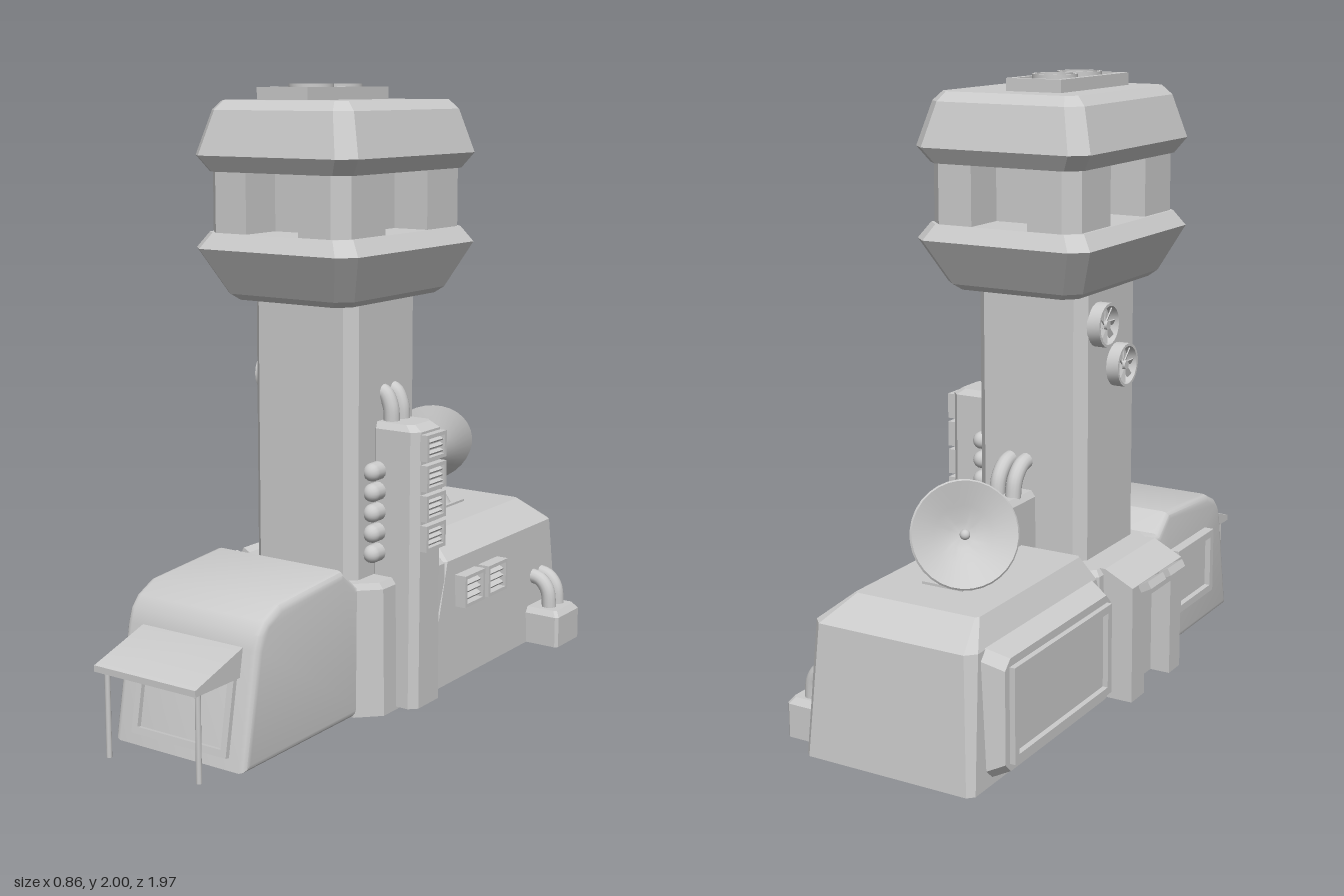
import * as THREE from 'three';
import { toCreasedNormals } from 'three/addons/utils/BufferGeometryUtils.js';

const grey = new THREE.MeshStandardMaterial({ color: 0xcccccc });
const thin = new THREE.MeshStandardMaterial({ color: 0xcccccc, side: THREE.DoubleSide });

function add(parent, name, geo, x = 0, y = 0, z = 0, mat = grey) {
  const m = new THREE.Mesh(geo, mat);
  m.name = name;
  m.position.set(x, y, z);
  parent.add(m);
  return m;
}
function sub(parent, name, x = 0, y = 0, z = 0) {
  const g = new THREE.Group();
  g.name = name;
  g.position.set(x, y, z);
  parent.add(g);
  return g;
}
// box given by its min and max corners
function block(parent, name, x0, x1, y0, y1, z0, z1) {
  return add(parent, name, new THREE.BoxGeometry(x1 - x0, y1 - y0, z1 - z0), (x0 + x1) / 2, (y0 + y1) / 2, (z0 + z1) / 2);
}
// stacked rectangles with cut corners: [y, x0, x1, z0, z1, cut]
function loft(rings) {
  const loops = rings.map(([y, x0, x1, z0, z1, c]) => [
    [x1, z1 - c], [x1, z0 + c], [x1 - c, z0], [x0 + c, z0],
    [x0, z0 + c], [x0, z1 - c], [x0 + c, z1], [x1 - c, z1],
  ].map(([x, z]) => [x, y, z]));
  const pos = [];
  const tri = (...p) => p.forEach((v) => pos.push(...v));
  for (let r = 0; r < loops.length - 1; r++) {
    for (let i = 0; i < 8; i++) {
      const j = (i + 1) % 8, lo = loops[r], hi = loops[r + 1];
      tri(lo[i], lo[j], hi[j]);
      tri(lo[i], hi[j], hi[i]);
    }
  }
  const bottom = loops[0], top = loops[loops.length - 1];
  for (let i = 1; i < 7; i++) {
    tri(top[0], top[i], top[i + 1]);
    tri(bottom[0], bottom[i + 1], bottom[i]);
  }
  const g = new THREE.BufferGeometry();
  g.setAttribute('position', new THREE.Float32BufferAttribute(pos, 3));
  g.computeVertexNormals();
  return g;
}
const centred = (cx, cz, rings) => loft(rings.map(([y, hx, hz, c]) => [y, cx - hx, cx + hx, cz - hz, cz + hz, c]));
const shapeOf = (pts) => new THREE.Shape(pts.map(([a, b]) => new THREE.Vector2(a, b)));

// side profile of (z, y) points, extruded between two x values
function sideExtrude(pts, x0, x1, bevel = 0) {
  const g = new THREE.ExtrudeGeometry(shapeOf(pts), {
    depth: x1 - x0 - 2 * bevel, bevelEnabled: bevel > 0, bevelSize: bevel, bevelOffset: -bevel, bevelThickness: bevel, bevelSegments: 3,
  });
  g.rotateY(-Math.PI / 2).translate(x1 - bevel, 0, 0);
  return toCreasedNormals(g, 0.6);
}
function pipe(parent, name, pts, r) {
  const curve = new THREE.CatmullRomCurve3(pts.map((p) => new THREE.Vector3(...p)));
  return add(parent, name, new THREE.TubeGeometry(curve, 14, r, 14), 0, 0, 0, thin);
}
// rectangular frame facing +z
function frame(parent, w, h, d, t) {
  for (const s of [-1, 1]) {
    add(parent, 'frameRail', new THREE.BoxGeometry(w, t, d), 0, s * (h - t) / 2, d / 2);
    add(parent, 'frameStile', new THREE.BoxGeometry(t, h - 2 * t, d), s * (w - t) / 2, 0, d / 2);
  }
}
function vent(parent, name, w, h, d, x, y, z) {
  const g = sub(parent, name, x, y, z);
  frame(g, w, h, d, 0.012);
  add(g, 'ventBack', new THREE.BoxGeometry(w - 0.02, h - 0.02, d * 0.4), 0, 0, d * 0.2);
  for (let i = -1; i <= 1; i++) {
    add(g, 'louver', new THREE.BoxGeometry(w - 0.02, 0.006, d * 0.6), 0, i * h * 0.22, d * 0.5).rotation.x = 0.5;
  }
  return g;
}
// round fan with its axis along +y
function fan(parent, name, r, h, x, y, z) {
  const g = sub(parent, name, x, y, z);
  const rim = [[r, 0], [r, h], [r * 0.87, h], [r * 0.87, h * 0.2], [0, h * 0.2]].map(([a, b]) => new THREE.Vector2(a, b));
  add(g, 'fanRing', toCreasedNormals(new THREE.LatheGeometry(rim, 24), 0.6), 0, 0, 0, thin);
  add(g, 'fanHub', new THREE.CylinderGeometry(r * 0.2, r * 0.25, h * 0.7, 14), 0, h * 0.55, 0);
  for (let i = 0; i < 8; i++) {
    const arm = sub(g, 'fanBlade');
    arm.rotation.y = i * Math.PI / 4;
    add(arm, 'blade', new THREE.BoxGeometry(r * 0.72, 0.004, r * 0.26), r * 0.52, h * 0.6, 0).rotation.x = 0.45;
  }
  return g;
}

export function createModel() {
  const model = new THREE.Group();
  model.name = 'controlTower';

  // ground floor: rear hall, middle block, front hall
  add(model, 'rearHall', loft([
    [0, -0.3, 0.3, -0.98, -0.04, 0.02], [0.42, -0.285, 0.285, -0.945, -0.17, 0.03], [0.5, -0.245, 0.19, -0.85, -0.23, 0.01]]));
  add(model, 'middleBlock', loft([
    [0, -0.29, 0.29, -0.25, 0.26, 0.07], [0.42, -0.285, 0.285, -0.25, 0.26, 0.07], [0.44, -0.27, 0.27, -0.24, 0.26, 0.07]]));
  add(model, 'frontHall', sideExtrude([
    [0.2, 0], [0.83, 0], [0.765, 0.36], [0.75, 0.405], [0.72, 0.44], [0.65, 0.475], [0.32, 0.5], [0.25, 0.44], [0.2, 0.44]], -0.29, 0.225, 0.025));

  // bulging framed panel on the rear hall's right side
  const bay = sub(model, 'sideBay', -0.28, 0.22, -0.55);
  bay.rotation.y = -Math.PI / 2;
  add(bay, 'bayBody', centred(0, 0, [[0, 0.355, 0.205, 0.03], [0.07, 0.325, 0.175, 0.03]]).rotateX(Math.PI / 2));
  const bayFrame = sub(bay, 'bayFrame', 0, 0, 0.07);
  frame(bayFrame, 0.6, 0.3, 0.018, 0.025);

  // window on the front hall's right side
  const sideWindow = sub(model, 'sideWindow', -0.285, 0.245, 0.475);
  sideWindow.rotation.y = -Math.PI / 2;
  frame(sideWindow, 0.29, 0.23, 0.04, 0.025);
  add(sideWindow, 'pane', new THREE.BoxGeometry(0.25, 0.19, 0.02), 0, 0, 0.01);

  // side entrance with lamps
  const portal = sub(model, 'sideEntrance');
  block(portal, 'rearPillar', -0.39, -0.26, 0, 0.36, -0.15, -0.06);
  block(portal, 'frontPillar', -0.39, -0.26, 0, 0.36, 0.13, 0.21);
  block(portal, 'door', -0.32, -0.26, 0, 0.36, -0.06, 0.13);
  const lintel = shapeOf([[-0.39, 0.33], [-0.26, 0.33], [-0.26, 0.44], [-0.29, 0.44], [-0.39, 0.39]]);
  add(portal, 'lintel', new THREE.ExtrudeGeometry(lintel, { depth: 0.36, bevelEnabled: false }), 0, 0, -0.15);
  for (const z of [-0.05, 0.095]) {
    add(portal, 'lamp', new THREE.BoxGeometry(0.04, 0.025, 0.11), -0.41, 0.385, z).rotation.z = -0.5;
  }

  // porch
  const porch = sub(model, 'porch');
  add(porch, 'canopy', sideExtrude([[0.74, 0.275], [0.985, 0.275], [0.985, 0.295], [0.745, 0.37], [0.74, 0.37]], -0.22, 0.17));
  for (const x of [-0.2, 0.15]) add(porch, 'post', new THREE.CylinderGeometry(0.009, 0.009, 0.28, 10), x, 0.14, 0.95);
  const entry = sub(porch, 'frontDoorFrame', -0.025, 0.155, 0.8);
  entry.rotation.x = -0.18;
  frame(entry, 0.37, 0.24, 0.018, 0.022);

  // shaft
  add(model, 'towerShaft', centred(0, 0.05, [[0.2, 0.2, 0.19, 0.035], [1.335, 0.2, 0.19, 0.035]]));

  // control room
  const head = sub(model, 'controlRoom');
  add(head, 'lowerCollar', centred(0, 0.035, [
    [1.325, 0.22, 0.28, 0.04], [1.345, 0.245, 0.305, 0.045], [1.49, 0.31, 0.385, 0.05], [1.54, 0.275, 0.355, 0.045]]));
  add(head, 'upperCollar', centred(0, 0.035, [
    [1.73, 0.275, 0.355, 0.045], [1.78, 0.31, 0.385, 0.05], [1.92, 0.27, 0.345, 0.045], [1.95, 0.24, 0.315, 0.03]]));
  block(head, 'roomCore', -0.14, 0.14, 1.53, 1.74, -0.165, 0.235);
  for (const sx of [-1, 1]) for (const sz of [-1, 1]) {
    const corner = [[0.1, 0.12], [0.265, 0.12], [0.265, 0.305], [0.22, 0.35], [0.1, 0.35]];
    const post = new THREE.ExtrudeGeometry(shapeOf(corner.map(([x, z]) => [sx * x, -sz * z])), { depth: 0.2, bevelEnabled: false });
    add(head, 'cornerPost', post.rotateX(-Math.PI / 2), 0, 1.535, 0.035);
  }

  // roof fans in a tray
  const tray = sub(model, 'roofFans', -0.045, 1.95, 0.045);
  const rails = sub(tray, 'trayFrame');
  rails.rotation.x = -Math.PI / 2;
  frame(rails, 0.195, 0.45, 0.04, 0.022);
  add(tray, 'trayFloor', new THREE.BoxGeometry(0.17, 0.015, 0.43), 0, 0.0075, 0);
  for (const z of [-0.09, 0.07]) fan(tray, 'roofFan', 0.072, 0.038, 0, 0.012, z);

  // fans on the shaft's right side
  for (const [y, z] of [[1.215, -0.04], [1.06, 0.09]]) fan(model, 'shaftFan', 0.072, 0.045, -0.198, y, z).rotation.z = Math.PI / 2;

  // cooling cabinet on the left side
  const cabinet = sub(model, 'coolingCabinet');
  add(cabinet, 'cabinetBody', loft([
    [0.01, 0.18, 0.36, -0.05, 0.12, 0.025], [0.92, 0.18, 0.36, -0.045, 0.115, 0.025], [0.94, 0.18, 0.33, -0.03, 0.1, 0.02]]));
  for (let i = 0; i < 4; i++) {
    const v = vent(cabinet, 'cabinetVent', 0.115, 0.085, 0.03, 0.355, 0.87 - i * 0.098, 0.035);
    v.rotation.set(0, Math.PI / 2, 0);
  }
  for (let i = 0; i < 5; i++) {
    add(cabinet, 'coolingPipe', new THREE.CapsuleGeometry(0.03, 0.23, 6, 14).rotateX(Math.PI / 2), 0.215, 0.785 - i * 0.067, 0.035);
  }
  for (const z of [0.06, 0]) {
    pipe(cabinet, 'topPipe', [[0.18, 1.035, z], [0.205, 1.025, z], [0.225, 0.985, z], [0.23, 0.92, z]], 0.026);
  }

  // power box behind the shaft
  const power = sub(model, 'powerBox');
  add(power, 'boxBody', loft([
    [0.4, -0.025, 0.105, -0.32, -0.13, 0.005], [0.64, -0.025, 0.105, -0.32, -0.13, 0.005], [0.66, -0.01, 0.09, -0.305, -0.13, 0.005]]));
  vent(power, 'boxVent', 0.1, 0.085, 0.03, 0.04, 0.61, -0.318).rotation.y = Math.PI;
  for (const x of [0.01, 0.07]) {
    pipe(power, 'powerPipe', [[x, 0.76, -0.12], [x, 0.75, -0.17], [x, 0.71, -0.21], [x, 0.64, -0.225]], 0.026);
  }

  // rear hall vents and pump box on the left side
  for (const z of [-0.31, -0.465]) vent(model, 'wallVent', 0.13, 0.11, 0.045, 0.285, 0.31, z).rotation.y = Math.PI / 2;
  const pump = sub(model, 'pumpBox');
  add(pump, 'pumpBody', loft([
    [0, 0.28, 0.425, -0.9, -0.73, 0.01], [0.11, 0.28, 0.425, -0.9, -0.73, 0.01], [0.13, 0.28, 0.41, -0.885, -0.745, 0.01]]));
  for (const z of [-0.79, -0.85]) {
    pipe(pump, 'pumpPipe', [[0.27, 0.235, z], [0.32, 0.225, z], [0.35, 0.19, z], [0.36, 0.11, z]], 0.026);
  }

  // dish antenna
  const antenna = sub(model, 'antenna');
  block(antenna, 'antennaPlate', -0.09, 0.055, 0.49, 0.508, -0.69, -0.5);
  add(antenna, 'antennaFoot', new THREE.CylinderGeometry(0.035, 0.055, 0.035, 20), -0.01, 0.525, -0.595);
  add(antenna, 'mast', new THREE.CylinderGeometry(0.017, 0.017, 0.12, 14), -0.01, 0.6, -0.59);
  for (const y of [0.56, 0.6, 0.645]) add(antenna, 'joint', new THREE.SphereGeometry(0.026, 14, 10), -0.01, y, -0.59);
  pipe(antenna, 'dishArm', [[-0.01, 0.645, -0.59], [-0.035, 0.66, -0.62], [-0.075, 0.67, -0.665]], 0.015);
  const dish = sub(antenna, 'dish', -0.115, 0.69, -0.71);
  dish.quaternion.setFromUnitVectors(new THREE.Vector3(0, 1, 0), new THREE.Vector3(-0.63, 0.35, -0.7).normalize());
  const bowl = [[0, -0.07], [0.04, -0.063], [0.09, -0.04], [0.165, 0], [0.16, 0.006], [0.088, -0.03], [0.04, -0.053], [0, -0.06]];
  add(dish, 'bowl', toCreasedNormals(new THREE.LatheGeometry(bowl.map(([a, b]) => new THREE.Vector2(a, b)), 32), 0.6), 0, 0, 0, thin);
  add(dish, 'feed', new THREE.CylinderGeometry(0.006, 0.006, 0.06, 10), 0, -0.035, 0);
  add(dish, 'feedTip', new THREE.SphereGeometry(0.016, 14, 10), 0, 0, 0);

  return model;
}
